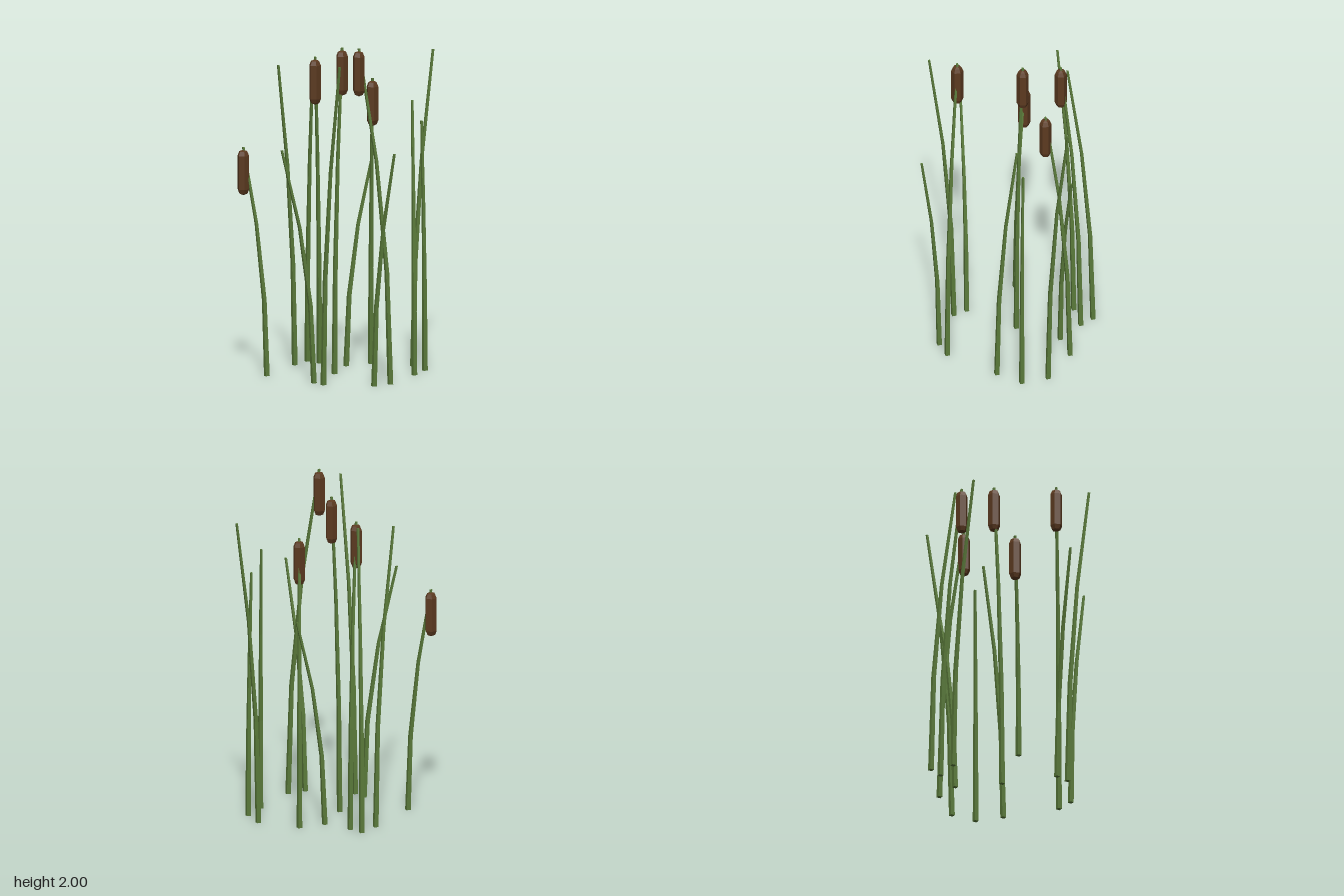
import * as THREE from 'three';

const green = new THREE.MeshStandardMaterial({ color: 0x5a7a3a });
green.name = 'stem green';
const brown = new THREE.MeshStandardMaterial({ color: 0x5c3a20 });
brown.name = 'seed head brown';

// base x, base z, tip x, tip z, height
const reeds = [
  [0.365, -0.355, 0.433, -0.524, 1.87],
  [-0.278, -0.315, -0.2, -0.187, 1.82],
  [0.47, -0.07, 0.42, -0.178, 1.62],
  [-0.307, -0.172, -0.363, -0.034, 1.81],
  [0.478, -0.24, 0.458, -0.238, 1.49],
  [-0.01, -0.238, 0.11, -0.376, 1.26],
  [0.367, 0.367, 0.508, 0.41, 1.4],
  [-0.002, 0.38, -0.16, 0.502, 1.4],
  [0.072, 0.425, 0.205, 0.52, 1.92],
];
const cattails = [
  [-0.19, -0.28, -0.175, -0.155, 1.85],
  [0.1, -0.362, 0.157, -0.228, 1.73],
  [0.012, 0.042, 0.04, -0.015, 1.94],
  [-0.343, 0.235, -0.484, 0.25, 1.36],
  [0.438, 0.277, 0.253, 0.308, 2.0],
];

function facetedMesh(geometry, material, name) {
  const flat = geometry.toNonIndexed();
  flat.computeVertexNormals();
  const mesh = new THREE.Mesh(flat, material);
  mesh.name = name;
  return mesh;
}

// Tapered four-sided stalk in three sections, leaning more towards the tip
function makeStem([bx, bz, tx, tz, h]) {
  const geometry = new THREE.CylinderGeometry(0.0085, 0.018, h, 4, 3);
  geometry.translate(0, h / 2, 0);
  const p = geometry.attributes.position;
  for (let i = 0; i < p.count; i++) {
    const bend = (p.getY(i) / h) ** 2;
    p.setX(i, p.getX(i) + bx + (tx - bx) * bend);
    p.setZ(i, p.getZ(i) + bz + (tz - bz) * bend);
  }
  return facetedMesh(geometry, green, 'stem');
}

// Six-sided rounded seed head just below the tip
function makeHead([, , tx, tz, h]) {
  const head = facetedMesh(new THREE.CapsuleGeometry(0.036, 0.2, 2, 6), brown, 'seedHead');
  head.position.set(tx, h - 0.15, tz);
  return head;
}

export function createModel() {
  const model = new THREE.Group();
  model.name = 'cattailClump';
  for (const r of reeds) model.add(makeStem(r));
  for (const c of cattails) {
    const plant = new THREE.Group();
    plant.name = 'cattail';
    plant.add(makeStem(c), makeHead(c));
    model.add(plant);
  }
  return model;
}
